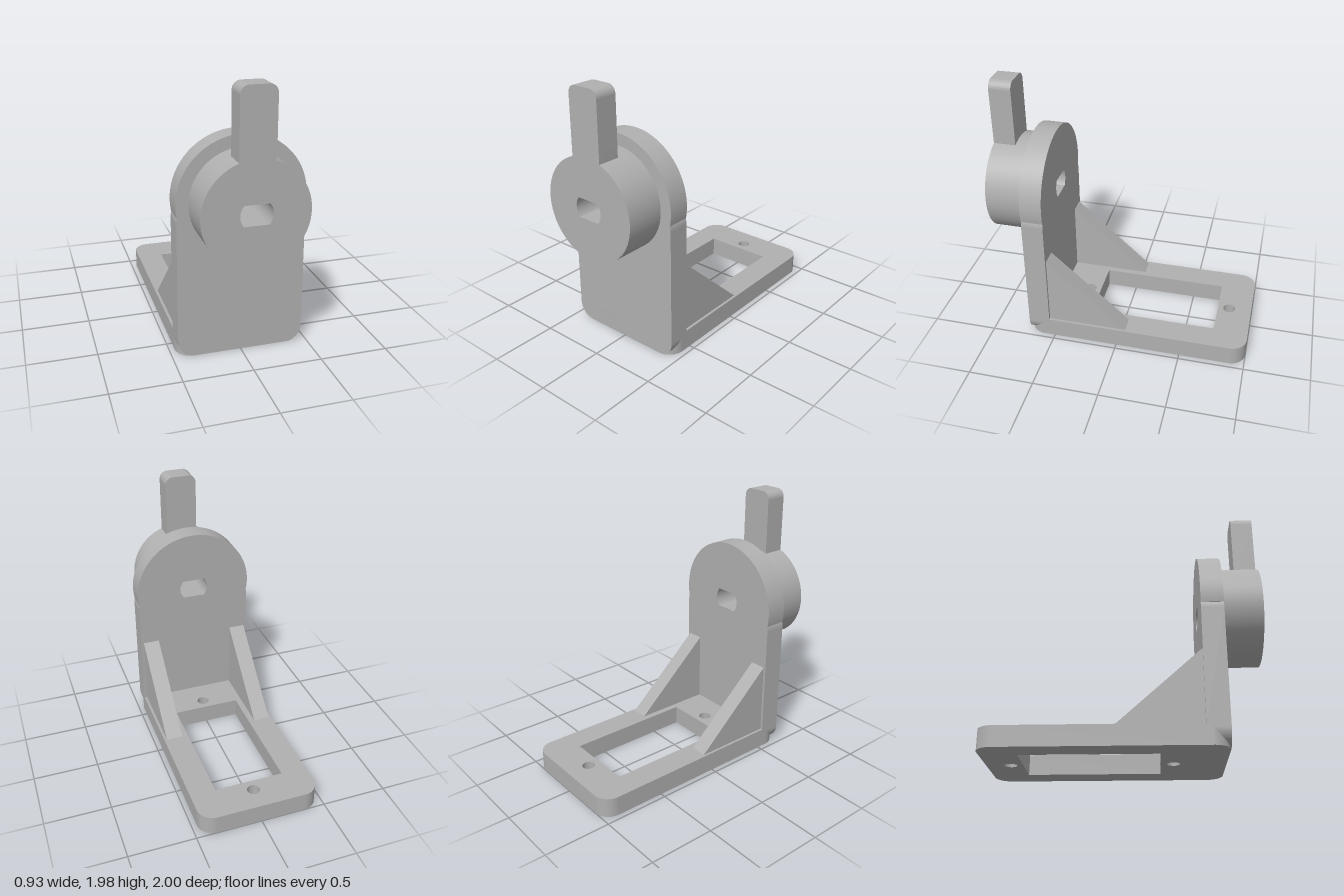
import * as THREE from 'three';
import { toCreasedNormals } from 'three/addons/utils/BufferGeometryUtils.js';

const HALF = 0.46, CORNER = 0.12, AXIS_Y = 1.137;

// Rectangle with separate radii for its lower and upper corners
function roundedRect(x0, y0, x1, y1, rLow, rHigh) {
  const s = new THREE.Shape();
  s.moveTo(x0 + rLow, y0);
  s.lineTo(x1 - rLow, y0);
  if (rLow) s.absarc(x1 - rLow, y0 + rLow, rLow, -Math.PI / 2, 0);
  s.lineTo(x1, y1 - rHigh);
  if (rHigh) s.absarc(x1 - rHigh, y1 - rHigh, rHigh, 0, Math.PI / 2);
  s.lineTo(x0 + rHigh, y1);
  if (rHigh) s.absarc(x0 + rHigh, y1 - rHigh, rHigh, Math.PI / 2, Math.PI);
  s.lineTo(x0, y0 + rLow);
  if (rLow) s.absarc(x0 + rLow, y0 + rLow, rLow, Math.PI, Math.PI * 1.5);
  return s;
}

// Shaft hole: a circle with flats above and below
function shaftHole() {
  const r = 0.113, a = Math.asin(0.072 / r);
  const p = new THREE.Path();
  p.absarc(0, AXIS_Y, r, -a, a);
  p.absarc(0, AXIS_Y, r, Math.PI - a, Math.PI + a);
  p.closePath();
  return p;
}

function extrude(shape, depth) {
  return new THREE.ExtrudeGeometry(shape, { depth, bevelEnabled: false, curveSegments: 40 });
}

export function createModel() {
  const group = new THREE.Group();
  const grey = new THREE.MeshStandardMaterial({ color: 0xb0b0b0 });
  grey.name = 'grey';

  function add(name, geometry) {
    const mesh = new THREE.Mesh(toCreasedNormals(geometry, 0.4), grey);
    mesh.name = name;
    group.add(mesh);
  }

  // Base frame with a window and two screw holes (drawn with y = -z)
  const base = roundedRect(-HALF, -0.705, HALF, 1, CORNER, CORNER);
  base.holes.push(roundedRect(-0.265, -0.24, 0.265, 0.735, 0, 0));
  for (const z of [-0.825, 0.33]) {
    base.holes.push(new THREE.Path().absarc(0, -z, 0.047, 0, Math.PI * 2));
  }
  add('basePlate', extrude(base, 0.15).rotateX(-Math.PI / 2));

  // Upright plate: rounded rectangle merging into a disc, pinched at the joint
  const R = 0.464, joint = Math.asin((1.05 - AXIS_Y) / R);
  const turn = Math.asin(0.04 / CORNER);
  const upright = new THREE.Shape();
  upright.moveTo(-HALF + CORNER, 0);
  upright.lineTo(HALF - CORNER, 0);
  upright.absarc(HALF - CORNER, CORNER, CORNER, -Math.PI / 2, 0);
  upright.absarc(HALF - CORNER, 1.01, CORNER, 0, turn);
  upright.absarc(0, AXIS_Y, R, joint, Math.PI - joint);
  upright.absarc(-HALF + CORNER, 1.01, CORNER, Math.PI - turn, Math.PI);
  upright.absarc(-HALF + CORNER, CORNER, CORNER, Math.PI, Math.PI * 1.5);
  upright.holes.push(shaftHole());
  add('uprightPlate', extrude(upright, 0.165).translate(0, 0, 0.54));

  // Round hub on the front of the upright
  const hub = new THREE.Shape().absarc(0, AXIS_Y, 0.376, 0, Math.PI * 2);
  hub.holes.push(shaftHole());
  add('hub', extrude(hub, 0.295).translate(0, 0, 0.705));

  // Lever rising from the hub
  const lever = roundedRect(-0.124, 1.4, 0.124, 1.98, 0, 0.06);
  add('lever', extrude(lever, 0.168).translate(0, 0, 0.832));

  // Pair of triangular braces (drawn with x = z)
  const brace = new THREE.Shape([
    new THREE.Vector2(-0.07, 0.15),
    new THREE.Vector2(0.54, 0.15),
    new THREE.Vector2(0.54, 0.7),
  ]);
  for (const [name, x] of [['leftBrace', 0.44], ['rightBrace', -0.312]]) {
    add(name, extrude(brace, 0.128).rotateY(-Math.PI / 2).translate(x, 0, 0));
  }

  return group;
}
